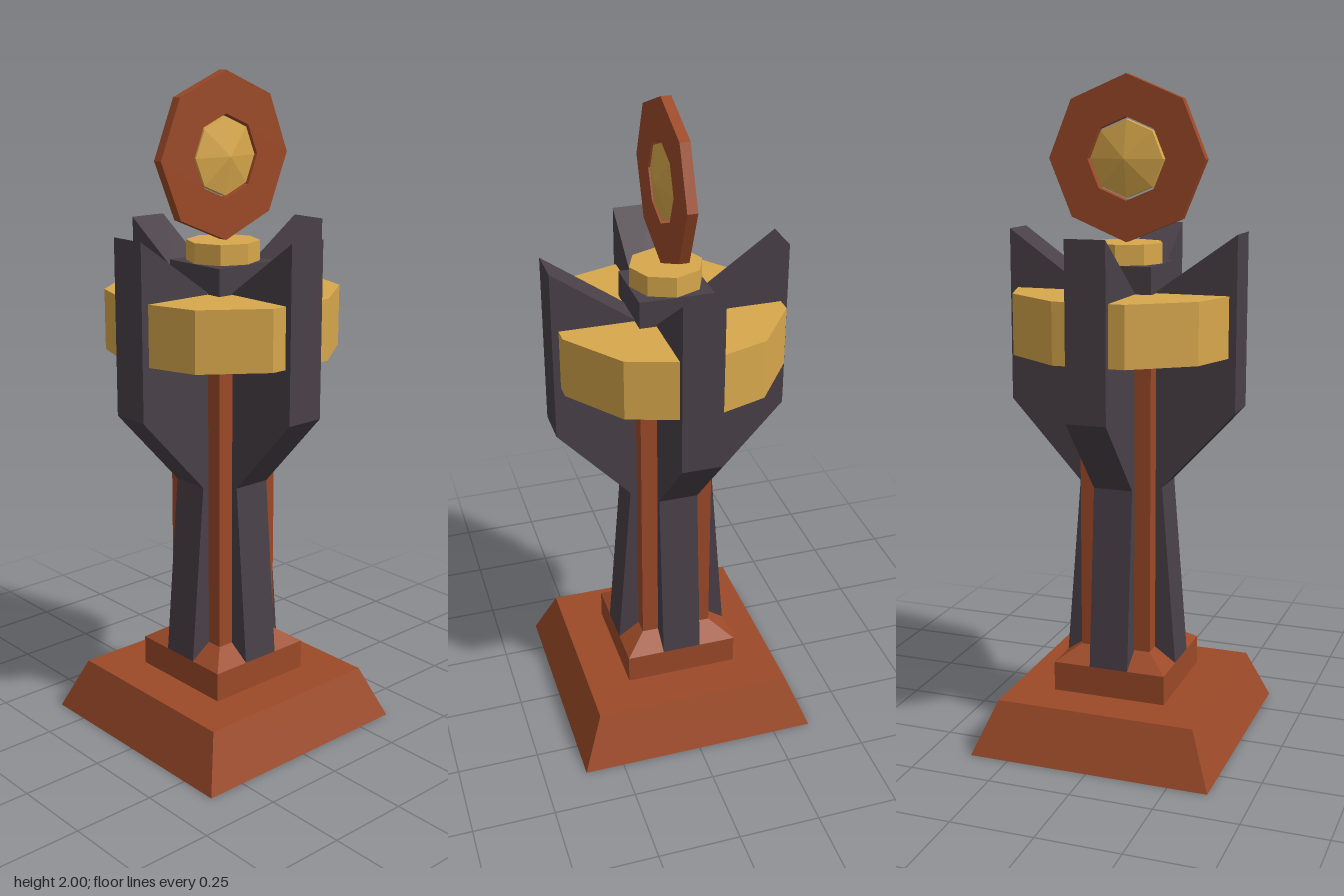
import * as THREE from 'three';

const mat = (color, side = THREE.FrontSide) =>
  new THREE.MeshStandardMaterial({ color, flatShading: true, side });

export function createModel() {
  const group = new THREE.Group();
  const brown = mat(0x9c4a28);
  const brownShell = mat(0x9c4a28, THREE.DoubleSide);
  const gold = mat(0xd8a84c);
  const dark = mat(0x4a4048);

  const add = (name, geometry, material, y = 0) => {
    const mesh = new THREE.Mesh(geometry, material);
    mesh.name = name;
    mesh.position.y = y;
    group.add(mesh);
    return mesh;
  };

  // Hollow square plinth and column, one stepped profile (half width, height)
  const profile = [[0.37, 0], [0.305, 0.16], [0.175, 0.16], [0.175, 0.25], [0.11, 0.295], [0.11, 1.38]]
    .map(([half, y]) => new THREE.Vector2(half * Math.SQRT2, y));
  add('plinthAndColumn', new THREE.LatheGeometry(profile, 4, Math.PI / 4), brownShell);

  // Four fins around the column
  const finShape = new THREE.Shape([
    [0.11, 0.25], [0.175, 0.25], [0.13, 0.8], [0.35, 1.04], [0.35, 1.555], [0.11, 1.385],
  ].map(([x, y]) => new THREE.Vector2(x, y)));
  const finGeometry = new THREE.ExtrudeGeometry(finShape, { depth: 0.12, bevelEnabled: false });
  finGeometry.translate(0, 0, -0.06);
  for (let i = 0; i < 4; i++) {
    add('fin' + (i + 1), finGeometry, dark).rotation.y = i * Math.PI / 2;
  }

  // Ten-sided collar, square cap and small pedestal
  const collar = add('collar', new THREE.CylinderGeometry(0.347, 0.347, 0.18, 10), gold, 1.29);
  collar.rotation.y = Math.PI / 2;
  add('cap', new THREE.BoxGeometry(0.22, 0.08, 0.22), dark, 1.42);
  add('pedestal', new THREE.CylinderGeometry(0.108, 0.108, 0.06, 8), gold, 1.49);

  // Upright octagonal ring
  const octagon = (r) => Array.from({ length: 8 }, (_, i) =>
    new THREE.Vector2(r * Math.cos(i * Math.PI / 4), r * Math.sin(i * Math.PI / 4)));
  const ringShape = new THREE.Shape(octagon(0.24));
  ringShape.holes.push(new THREE.Path(octagon(0.12)));
  const ringGeometry = new THREE.ExtrudeGeometry(ringShape, { depth: 0.03, bevelEnabled: false });
  ringGeometry.translate(0, 0, -0.015);
  add('ring', ringGeometry, brown, 1.76);

  // Faceted gem set in the ring
  const gemProfile = [[0, -0.035], [0.112, -0.012], [0.112, 0.012], [0, 0.035]]
    .map(([r, y]) => new THREE.Vector2(r, y));
  add('gem', new THREE.LatheGeometry(gemProfile, 8), gold, 1.76).rotation.x = Math.PI / 2;

  return group;
}
